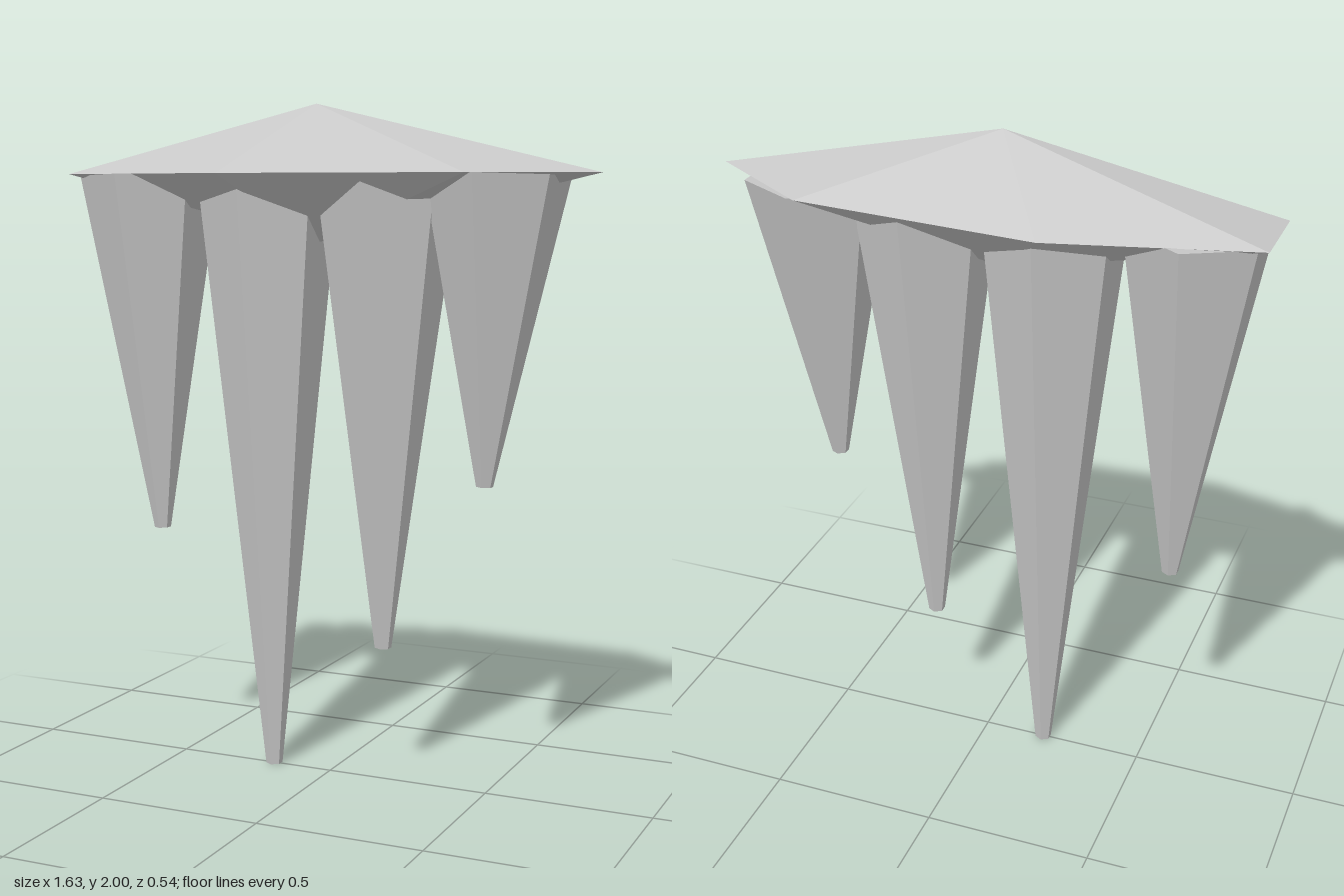
import * as THREE from 'three';

export function createModel() {
  const model = new THREE.Group();
  model.name = 'hangingIcicles';
  const stone = new THREE.MeshStandardMaterial({ color: 0xc6c6c6 });
  stone.name = 'light grey stone';

  // Facets stay crisp by giving every triangle its own normal
  const add = (name, geometry) => {
    const flat = geometry.toNonIndexed();
    flat.computeVertexNormals();
    const mesh = new THREE.Mesh(flat, stone);
    mesh.name = name;
    model.add(mesh);
  };

  // Cap: seven-sided double pyramid, pointed towards +x
  const cap = new THREE.SphereGeometry(1, 7, 2);
  cap.rotateY(Math.PI);
  cap.scale(0.857, 0.2, 0.277);
  cap.translate(-0.043, 1.8, 0);
  add('cap', cap);

  // Icicles: tapered hexagonal spikes leaning slightly inwards
  const icicles = [
    { name: 'rightIcicle', top: -0.6, tip: -0.574, bottom: 0.711 },
    { name: 'longIcicle', top: -0.199, tip: -0.189, bottom: 0 },
    { name: 'middleIcicle', top: 0.184, tip: 0.173, bottom: 0.404 },
    { name: 'leftIcicle', top: 0.514, tip: 0.486, bottom: 0.911 },
  ];
  for (const { name, top, tip, bottom } of icicles) {
    const length = Math.hypot(tip - top, 1.8 - bottom);
    const spike = new THREE.CylinderGeometry(0.212, 0.025, length, 6);
    spike.translate(0, -length / 2, 0);
    spike.rotateZ(Math.atan2(tip - top, 1.8 - bottom));
    spike.translate(top, 1.8, 0);
    add(name, spike);
  }
  return model;
}
